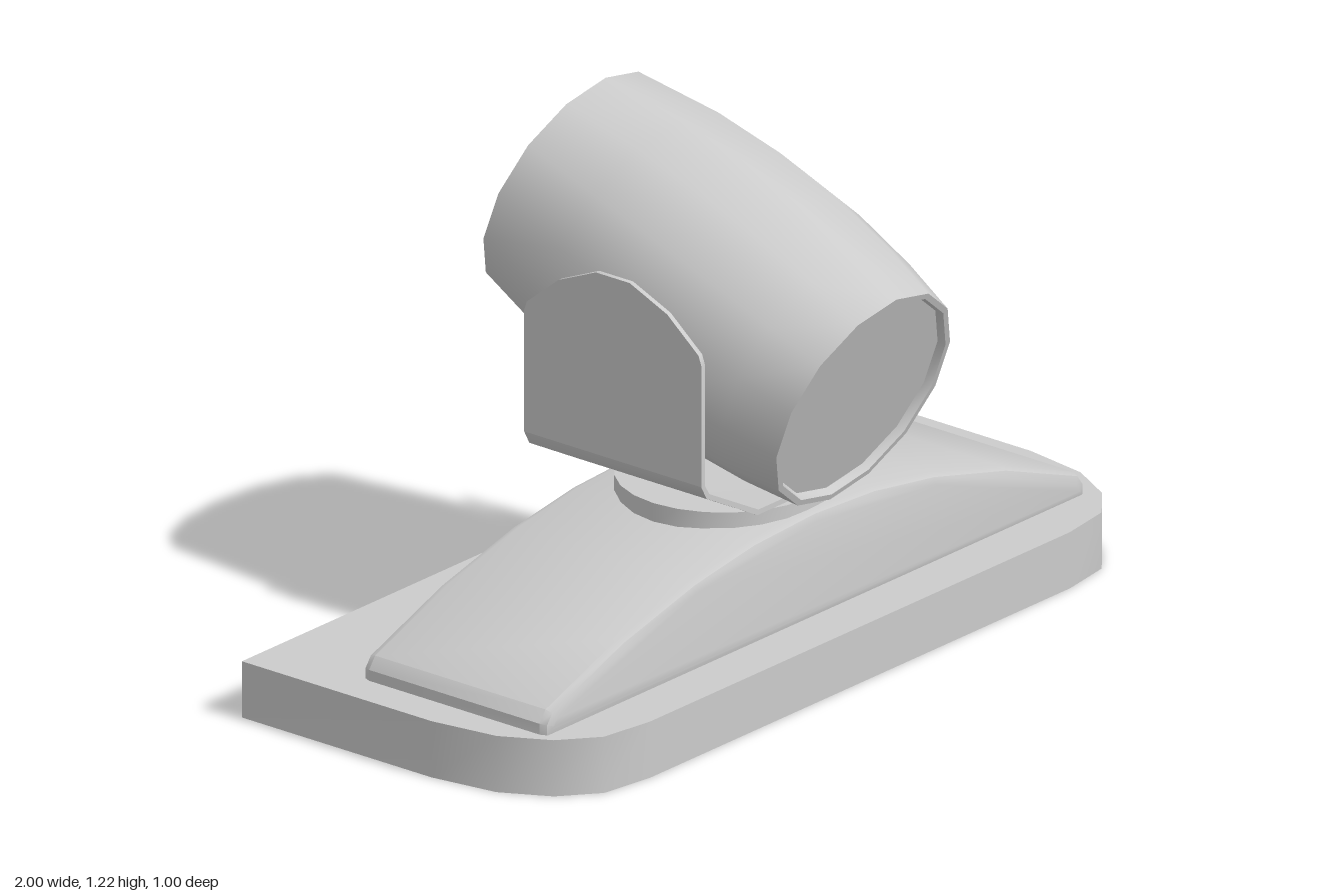
import * as THREE from 'three';
import { toCreasedNormals } from 'three/addons/utils/BufferGeometryUtils.js';

const V = (pts) => pts.map(([x, y]) => new THREE.Vector2(x, y));
const grey = new THREE.MeshStandardMaterial({ color: 0xcccccc });
const greyOpen = new THREE.MeshStandardMaterial({ color: 0xcccccc, side: THREE.DoubleSide });

function part(name, geometry, material = grey, crease = 0.6) {
  const mesh = new THREE.Mesh(toCreasedNormals(geometry, crease), material);
  mesh.name = name;
  return mesh;
}

// Mirror a left-to-right half outline (x < 0) onto x > 0
const mirrored = (half) => [...half, ...half.slice().reverse().map(([x, y]) => [-x, y])];

// Plate extruded along z, centred on z = 0
function extrudeZ(pts, depth, bevel = 0) {
  const g = new THREE.ExtrudeGeometry(new THREE.Shape(V(pts)), {
    depth: depth - 2 * bevel, bevelEnabled: bevel > 0, bevelThickness: bevel,
    bevelSize: bevel, bevelOffset: -bevel, bevelSegments: 2,
  });
  return g.translate(0, 0, -depth / 2 + bevel);
}

// Hollow base with rounded front corners and an open back
function createBase() {
  const base = new THREE.Group();
  base.name = 'base';
  const height = 0.13;
  const outline = mirrored([[-1, -0.5], [-1, 0.03], [-0.975, 0.19], [-0.915, 0.3], [-0.83, 0.37], [-0.7, 0.39]]);

  const wall = new THREE.PlaneGeometry(1, 1, outline.length - 1, 1);
  const pos = wall.attributes.position;
  for (let i = 0; i < pos.count; i++) {
    const [x, z] = outline[i % outline.length];
    pos.setXYZ(i, x, i < outline.length ? height : 0, z);
  }
  base.add(part('baseWall', wall, greyOpen));

  const shape = new THREE.Shape(V(outline.map(([x, z]) => [x, -z])));
  for (const [name, y] of [['baseTop', height], ['baseBottom', 0]]) {
    const plate = new THREE.ShapeGeometry(shape).rotateX(y > 0 ? -Math.PI / 2 : Math.PI / 2);
    if (y === 0) plate.scale(1, 1, -1), plate.index.array.reverse();
    base.add(part(name, plate.translate(0, y, 0), greyOpen));
  }
  return base;
}

// Arched cover on the base
function createCover() {
  const half = [[-0.9, 0.12], [-0.9, 0.155], [-0.88, 0.182], [-0.64, 0.27], [-0.4, 0.33], [-0.2, 0.36]];
  const pts = [...half, [0, 0.37], ...mirrored(half).slice(half.length)];
  const cover = part('archedCover', extrudeZ(pts, 0.52, 0.022));
  cover.position.set(-0.01, 0, 0.018);
  return cover;
}

// U-shaped bracket: bent strip plus two round-topped cheeks
function createBracket() {
  const bracket = new THREE.Group();
  bracket.name = 'bracket';
  bracket.position.set(-0.0125, 0, -0.0125);
  const width = 0.495, t = 0.012, w = 0.3325;

  const outer = mirrored([[-w, 0.52], [-0.315, 0.488], [-0.145, 0.397]]);
  const inner = mirrored([[-w + t, 0.52], [-0.306, 0.496], [-0.142, 0.409]]);
  bracket.add(part('bracketStrip', extrudeZ([...outer, ...inner.reverse()], width)));

  const cheek = mirrored([[-0.2475, 0.52], [-0.2475, 0.8], [-0.24, 0.822], [-0.152, 0.895], [-0.047, 0.94]]);
  for (const side of [-1, 1]) {
    const g = extrudeZ(cheek, t).rotateY(Math.PI / 2).translate(side * (w - t / 2), 0, 0);
    bracket.add(part(side > 0 ? 'leftCheek' : 'rightCheek', g));
  }
  return bracket;
}

// Bulging barrel, tilted, with a slightly recessed front
function createBarrel() {
  const profile = V([
    [0, -0.415], [0.252, -0.415], [0.258, -0.433], [0.272, -0.433], [0.299, -0.295], [0.319, -0.128],
    [0.322, 0.043], [0.311, 0.22], [0.277, 0.433], [0, 0.433],
  ]);
  const barrel = part('barrel', new THREE.LatheGeometry(profile, 14));
  barrel.position.set(-0.0125, 0.8125, 0.002);
  barrel.rotation.x = THREE.MathUtils.degToRad(-70);
  return barrel;
}

export function createModel() {
  const model = new THREE.Group();
  model.name = 'model';
  const pivot = part('pivotDisc', new THREE.CylinderGeometry(0.236, 0.236, 0.05, 24));
  pivot.position.set(-0.0125, 0.372, 0.02);
  model.add(createBase(), createCover(), pivot, createBracket(), createBarrel());
  return model;
}
